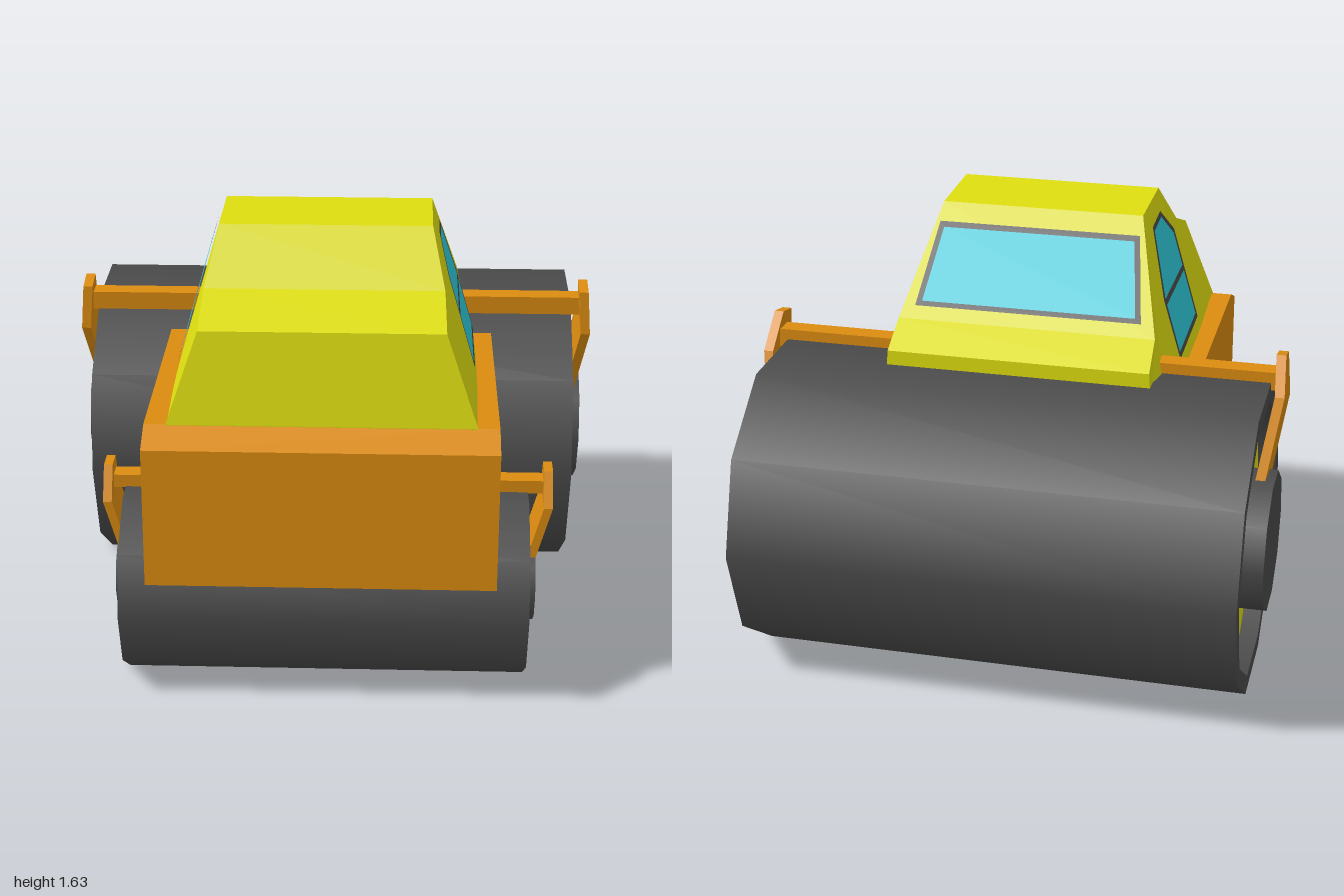
import * as THREE from 'three';

const mat = (name, color, side = THREE.FrontSide) => {
  const m = new THREE.MeshStandardMaterial({ color, side });
  m.name = name;
  return m;
};

export function createModel() {
  const yellow = mat('yellow paint', 0xdede10);
  const orange = mat('orange paint', 0xdc8c10);
  const grey = mat('dark grey', 0x4b4b4b, THREE.DoubleSide);
  const cyan = mat('cyan glass', 0x30ccdb, THREE.DoubleSide);
  const model = new THREE.Group();
  model.name = 'roadRoller';
  const BODY_X = -0.016, ROLLER_X = -0.006;

  const add = (parent, name, geo, material) => {
    const mesh = new THREE.Mesh(geo, material);
    mesh.name = name;
    parent.add(mesh);
    return mesh;
  };

  // Flat-faced skin over four-cornered sections, closed at both ends
  const loft = (rings) => {
    const pos = [];
    const tri = (...p) => p.forEach((v) => pos.push(...v));
    for (let k = 0; k < rings.length - 1; k++) {
      for (let i = 0; i < 4; i++) {
        const j = (i + 1) % 4;
        const a = rings[k][i], b = rings[k][j], c = rings[k + 1][j], d = rings[k + 1][i];
        tri(a, d, c);
        tri(a, c, b);
      }
    }
    const s = rings[0], e = rings[rings.length - 1];
    tri(s[0], s[1], s[2]); tri(s[0], s[2], s[3]);
    tri(e[0], e[2], e[1]); tri(e[0], e[3], e[2]);
    const g = new THREE.BufferGeometry();
    g.setAttribute('position', new THREE.Float32BufferAttribute(pos, 3));
    g.computeVertexNormals();
    return g;
  };

  // Ten-sided drum with recessed yellow ends and a protruding hub
  const roller = (name, y, z, r, rIn, rHub, half, hubHalf) => {
    const g = new THREE.Group();
    g.name = name;
    g.position.set(ROLLER_X, y, z);
    const depth = 0.07;
    add(g, 'drum', new THREE.CylinderGeometry(r, r, half * 2, 10, 1, true).rotateZ(Math.PI / 2), grey);
    add(g, 'hub', new THREE.CylinderGeometry(rHub, rHub, hubHalf * 2, 10).rotateZ(Math.PI / 2), grey);
    for (const s of [1, -1]) {
      const turn = s * Math.PI / 2;
      add(g, 'rim', new THREE.RingGeometry(rIn, r, 10).rotateY(turn).translate(s * half, 0, 0), grey);
      add(g, 'rimInside', new THREE.CylinderGeometry(rIn, rIn, depth, 10, 1, true)
        .rotateZ(Math.PI / 2).translate(s * (half - depth / 2), 0, 0), grey);
      add(g, 'endDisc', new THREE.CircleGeometry(rIn, 10).rotateY(turn).translate(s * (half - depth), 0, 0), yellow);
    }
    model.add(g);
  };
  roller('rearRoller', 0.565, -0.405, 0.588, 0.52, 0.265, 0.933, 0.985);
  roller('frontRoller', 0.365, 0.627, 0.37, 0.327, 0.168, 0.735, 0.767);

  // Chassis: side profile (z, y) extruded across x
  const outline = (pts) => new THREE.Shape(pts.map(([x, y]) => new THREE.Vector2(x, y)));
  const chassis = outline([
    [0.96, 0.47], [0.935, 1.0], [0.82, 1.05], [-0.15, 1.035],
    [-0.15, 0.72], [0.4, 0.655], [0.6, 0.61],
  ]);
  add(model, 'chassis', new THREE.ExtrudeGeometry(chassis, { depth: 1.255, bevelEnabled: false })
    .translate(0, 0, -0.6275).rotateY(-Math.PI / 2).translate(BODY_X, 0, 0), orange);

  // Cab sections from front to back: z, top height, top half width, bottom half width
  const cabSections = [
    [0.825, 1.05, 0.55, 0.55], [0.76, 1.38, 0.435, 0.551], [0.55, 1.46, 0.43, 0.557],
    [0.37, 1.64, 0.385, 0.56], [0.04, 1.635, 0.385, 0.56], [-0.25, 1.26, 0.49, 0.535],
    [-0.387, 1.18, 0.495, 0.505],
  ];
  const cab = loft(cabSections.map(([z, y, t, b]) => [
    [b, 1.04, z], [t, y, z], [-t, y, z], [-b, 1.04, z],
  ]));
  add(model, 'cab', cab.translate(BODY_X, 0, 0), yellow);

  // Windows: flat outlines laid onto the cab by a mapping rule
  const lay = (shape, map) => {
    const g = new THREE.ShapeGeometry(shape);
    const p = g.attributes.position;
    for (let i = 0; i < p.count; i++) p.setXYZ(i, ...map(p.getX(i), p.getY(i)));
    g.computeVertexNormals();
    return g;
  };
  const windowSet = (name, frame, panes, map) => {
    const g = new THREE.Group();
    g.name = name;
    g.position.x = BODY_X;
    const shape = outline(frame);
    shape.holes = panes.map(outline);
    add(g, 'frame', lay(shape, map), grey);
    panes.forEach((p) => add(g, 'glass', lay(outline(p), map), cyan));
    model.add(g);
  };
  const sideFrame = [[0.41, 1.105], [0.41, 1.465], [0.27, 1.58], [0.1, 1.572], [-0.025, 1.33], [-0.02, 1.095]];
  const sidePanes = [
    [[0.39, 1.125], [0.39, 1.303], [0, 1.303], [0, 1.115]],
    [[0.388, 1.325], [0.388, 1.455], [0.263, 1.56], [0.113, 1.553], [0, 1.325]],
  ];
  for (const s of [1, -1]) {
    windowSet(s > 0 ? 'leftWindow' : 'rightWindow', sideFrame, sidePanes,
      (z, y) => [s * (0.568 - (y - 1.04) * 0.2917), y, z]);
  }
  windowSet('rearWindow',
    [[-0.432, -0.22], [0.432, -0.22], [0.385, -0.012], [-0.385, -0.012]],
    [[[-0.408, -0.208], [0.408, -0.208], [0.367, -0.026], [-0.367, -0.026]]],
    (x, z) => [x, 1.642 + (z - 0.04) * 1.293, z - 0.005]);

  // Roller supports: a cross beam with a bent arm down to each hub.
  // Arm sections: centre x, front z and y, back z and y
  const support = (name, beam, arm, thick) => {
    const g = new THREE.Group();
    g.name = name;
    const [len, h, d, y, z] = beam;
    add(g, 'crossBeam', new THREE.BoxGeometry(len, h, d).translate(0, y, z), orange);
    for (const s of [1, -1]) {
      add(g, s > 0 ? 'leftArm' : 'rightArm', loft(arm.map(([x, zf, yf, zb, yb]) => {
        const hi = s * x + thick / 2, lo = s * x - thick / 2;
        return [[hi, yf, zf], [hi, yb, zb], [lo, yb, zb], [lo, yf, zf]];
      })), orange);
    }
    model.add(g);
  };
  support('rearSupport', [1.92, 0.07, 0.075, 1.13, -0.2], [
    [0.968, -0.115, 1.205, -0.205, 1.225],
    [0.98, -0.105, 1.035, -0.31, 1.1],
    [0.935, -0.225, 0.735, -0.435, 0.8],
  ], 0.036);
  support('frontSupport', [1.58, 0.05, 0.07, 0.738, 0.612], [
    [0.8, 0.66, 0.81, 0.58, 0.81],
    [0.8, 0.725, 0.69, 0.525, 0.69],
    [0.745, 0.725, 0.49, 0.525, 0.49],
  ], 0.032);

  return model;
}
